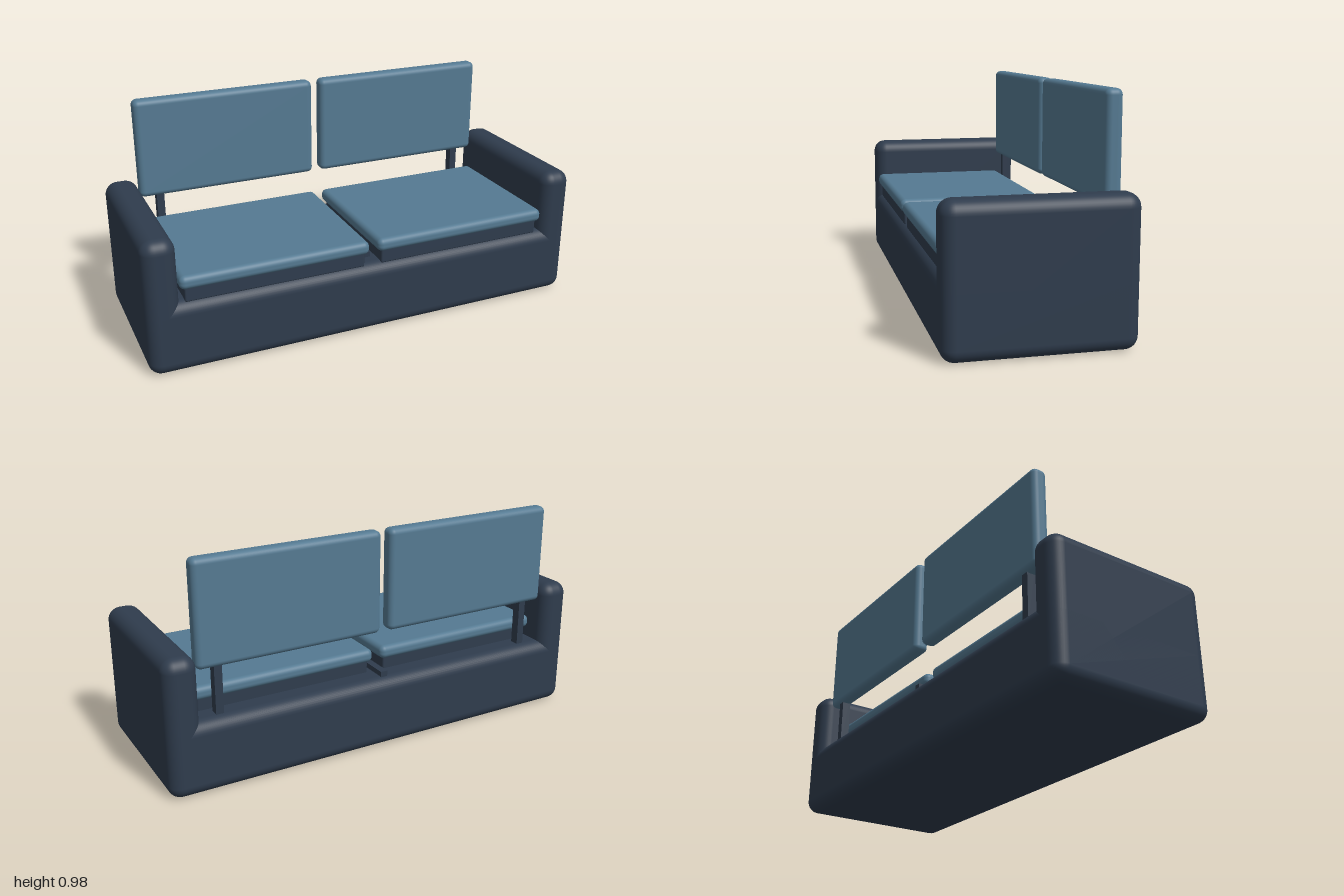
import * as THREE from 'three';
import { RoundedBoxGeometry } from 'three/addons/geometries/RoundedBoxGeometry.js';

const frameMat = new THREE.MeshStandardMaterial({ color: 0x2f3c4d });
frameMat.name = 'dark slate frame';
const cushionMat = new THREE.MeshStandardMaterial({ color: 0x557a92 });
cushionMat.name = 'blue cushion';

// Box given by its extents [min, max] on each axis; radius 0 keeps edges sharp
function block(name, x, y, z, radius, material) {
  const size = [x, y, z].map(([a, b]) => b - a);
  const geometry = radius
    ? new RoundedBoxGeometry(...size, 5, radius)
    : new THREE.BoxGeometry(...size);
  const mesh = new THREE.Mesh(geometry, material);
  mesh.name = name;
  mesh.position.set(...[x, y, z].map(([a, b]) => (a + b) / 2));
  return mesh;
}

export function createModel() {
  const sofa = new THREE.Group();
  sofa.name = 'sofa';

  // Base running under the arms, and the rail between the seats
  sofa.add(block('base', [-1, 1], [0, 0.32], [-0.38, 0.38], 0.055, frameMat));
  sofa.add(block('centreRail', [-0.016, 0.016], [0.3, 0.343], [-0.34, 0.29], 0, frameMat));

  for (const [side, s] of [['left', 1], ['right', -1]]) {
    const span = (a, b) => (s > 0 ? [a, b] : [-b, -a]);
    sofa.add(
      block(side + 'Arm', span(0.857, 1), [0, 0.6], [-0.38, 0.38], 0.055, frameMat),
      // Seat: plinth with a thin cushion on top
      block(side + 'SeatPlinth', span(0.04, 0.835), [0.31, 0.385], [-0.265, 0.355], 0.008, frameMat),
      block(side + 'SeatCushion', span(0.02, 0.855), [0.37, 0.43], [-0.285, 0.372], 0.025, cushionMat),
      // Backrest held up by a single post near the arm
      block(side + 'BackPost', span(0.746, 0.78), [0.3, 0.58], [-0.33, -0.29], 0, frameMat),
      block(side + 'BackCushion', span(0.02, 0.855), [0.525, 0.975], [-0.345, -0.275], 0.025, cushionMat),
    );
  }
  return sofa;
}
